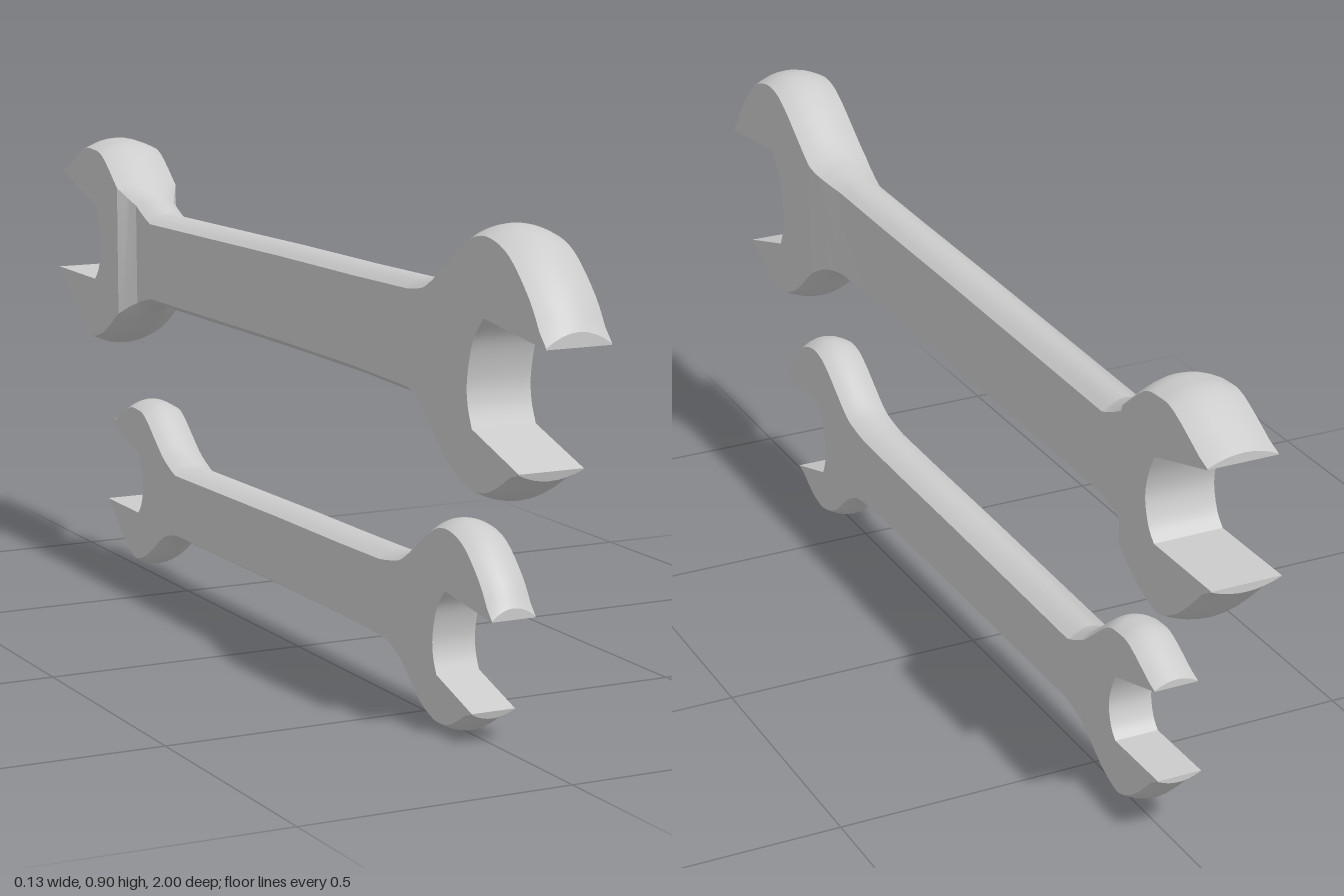
import * as THREE from 'three';
import { toCreasedNormals } from 'three/addons/utils/BufferGeometryUtils.js';

// Profile sections as [z, y] points of the larger spanner
const upperFront = [[1, 0.745], [0.96, 0.805], [0.89, 0.87], [0.82, 0.895], [0.76, 0.89], [0.71, 0.865],
  [0.66, 0.83], [0.6, 0.79], [0.55, 0.777], [0.5, 0.77]];
const upperBack = [[-0.58, 0.757], [-0.64, 0.785], [-0.68, 0.815], [-0.755, 0.873], [-0.81, 0.886],
  [-0.87, 0.88], [-0.975, 0.825]];
const jawBack = [[-0.805, 0.757], [-0.785, 0.715], [-0.777, 0.67], [-0.79, 0.625], [-0.81, 0.601]];
const lowerBack = [[-1, 0.588], [-0.92, 0.51], [-0.86, 0.472], [-0.815, 0.463], [-0.75, 0.485],
  [-0.68, 0.53], [-0.64, 0.554], [-0.58, 0.57]];
const lowerFront = [[0.5, 0.564], [0.55, 0.556], [0.6, 0.53], [0.675, 0.468], [0.73, 0.441], [0.78, 0.432],
  [0.84, 0.445], [0.915, 0.488]];
const jawFront = [[0.765, 0.553], [0.75, 0.59], [0.747, 0.635], [0.765, 0.7], [0.8, 0.743]];

const STEPS = 4;   // samples per profile segment
const LAYERS = 8;  // rows across the crowned edge
const CROWN = 0.018;
const SLABS = [1, 0.6, 0.5, -0.64, -0.68, -1]; // zones in which the side face is flat

const smooth = (pts) => new THREE.SplineCurve(pts.map(([z, y]) => new THREE.Vector2(z, y)))
  .getPoints((pts.length - 1) * STEPS);
const point = (z, y) => [new THREE.Vector2(z, y)];

// Closed profile; the inset moves the crowned outer edge inwards at the side faces
function makeProfile() {
  const profile = [];
  const add = (pts, crowned, startTip, endTip) => pts.forEach((p, i) => {
    const inset = new THREE.Vector2();
    if (crowned) {
      const a = pts[Math.max(i - 1, 0)], b = pts[Math.min(i + 1, pts.length - 1)];
      inset.set(-(b.y - a.y), b.x - a.x).normalize().multiplyScalar(CROWN);
      const tip = i === 0 ? startTip : i === pts.length - 1 ? endTip : null;
      if (tip) inset.copy(tip).sub(p).multiplyScalar(0.9);
    }
    profile.push({ p, inset });
  });
  const [tipA, tipB, tipC, tipD] = [[1, 0.72], [-0.975, 0.808], [-1, 0.603], [0.92, 0.505]].map((t) => point(...t));
  add([...smooth(upperFront), ...point(0.3, 0.767), ...point(0, 0.765), ...smooth(upperBack)], true, tipA[0], tipB[0]);
  add([...tipB, ...smooth(jawBack), ...tipC], false);
  add([...smooth(lowerBack), ...point(0, 0.572), ...point(0.3, 0.57), ...smooth(lowerFront)], true, tipC[0], tipD[0]);
  add([...tipD, ...smooth(jawFront), ...tipA], false);
  return profile;
}

// halfWidths: front head, handle, back head
function spannerGeometry([front, handle, back]) {
  const profile = makeProfile();
  const lerp = THREE.MathUtils.mapLinear, clamp = THREE.MathUtils.clamp;
  const halfWidth = (z) => (z > 0
    ? lerp(clamp(z, 0.5, 0.6), 0.5, 0.6, handle, front)
    : lerp(clamp(z, -0.68, -0.64), -0.68, -0.64, back, handle));
  const vertex = (i, k) => {
    const { p, inset } = profile[i];
    const t = (2 * k) / LAYERS - 1;
    return [t * halfWidth(p.x), p.y + inset.y * t * t, p.x + inset.x * t * t];
  };
  const positions = [];
  const triangle = (a, b, c) => positions.push(...a, ...b, ...c);

  // Edge all round
  profile.forEach((_, i) => {
    const j = (i + 1) % profile.length;
    for (let k = 0; k < LAYERS; k++) {
      triangle(vertex(i, k), vertex(i, k + 1), vertex(j, k + 1));
      triangle(vertex(i, k), vertex(j, k + 1), vertex(j, k));
    }
  });

  // Side faces, one flat zone at a time
  for (let s = 0; s < SLABS.length - 1; s++) {
    const ids = profile.map((_, i) => i).filter((i) => {
      const z = profile[i].p.x;
      return z <= SLABS[s] + 1e-4 && z >= SLABS[s + 1] - 1e-4;
    });
    const flat = ids.map((i) => profile[i].p.clone().add(profile[i].inset));
    for (const tri of THREE.ShapeUtils.triangulateShape(flat, [])) {
      const [u, v, w] = tri.map((n) => flat[n]);
      const ccw = (v.x - u.x) * (w.y - u.y) - (v.y - u.y) * (w.x - u.x) > 0;
      const [a, b, c] = (ccw ? tri : [...tri].reverse()).map((n) => ids[n]);
      triangle(vertex(a, 0), vertex(b, 0), vertex(c, 0));
      triangle(vertex(c, LAYERS), vertex(b, LAYERS), vertex(a, LAYERS));
    }
  }
  const geometry = new THREE.BufferGeometry();
  geometry.setAttribute('position', new THREE.Float32BufferAttribute(positions, 3));
  return toCreasedNormals(geometry, 0.45);
}

export function createModel() {
  const group = new THREE.Group();
  const material = new THREE.MeshStandardMaterial({ color: 0xcccccc });

  const large = new THREE.Mesh(spannerGeometry([0.061, 0.042, 0.065]), material);
  large.name = 'largeSpanner';

  // Smaller spanner of even thickness, below the large one
  const small = new THREE.Mesh(spannerGeometry([0.042, 0.042, 0.042]), material);
  small.name = 'smallSpanner';
  small.scale.set(1, 0.805, 0.805);
  small.position.y = -0.432 * 0.805;

  group.add(large, small);
  return group;
}
